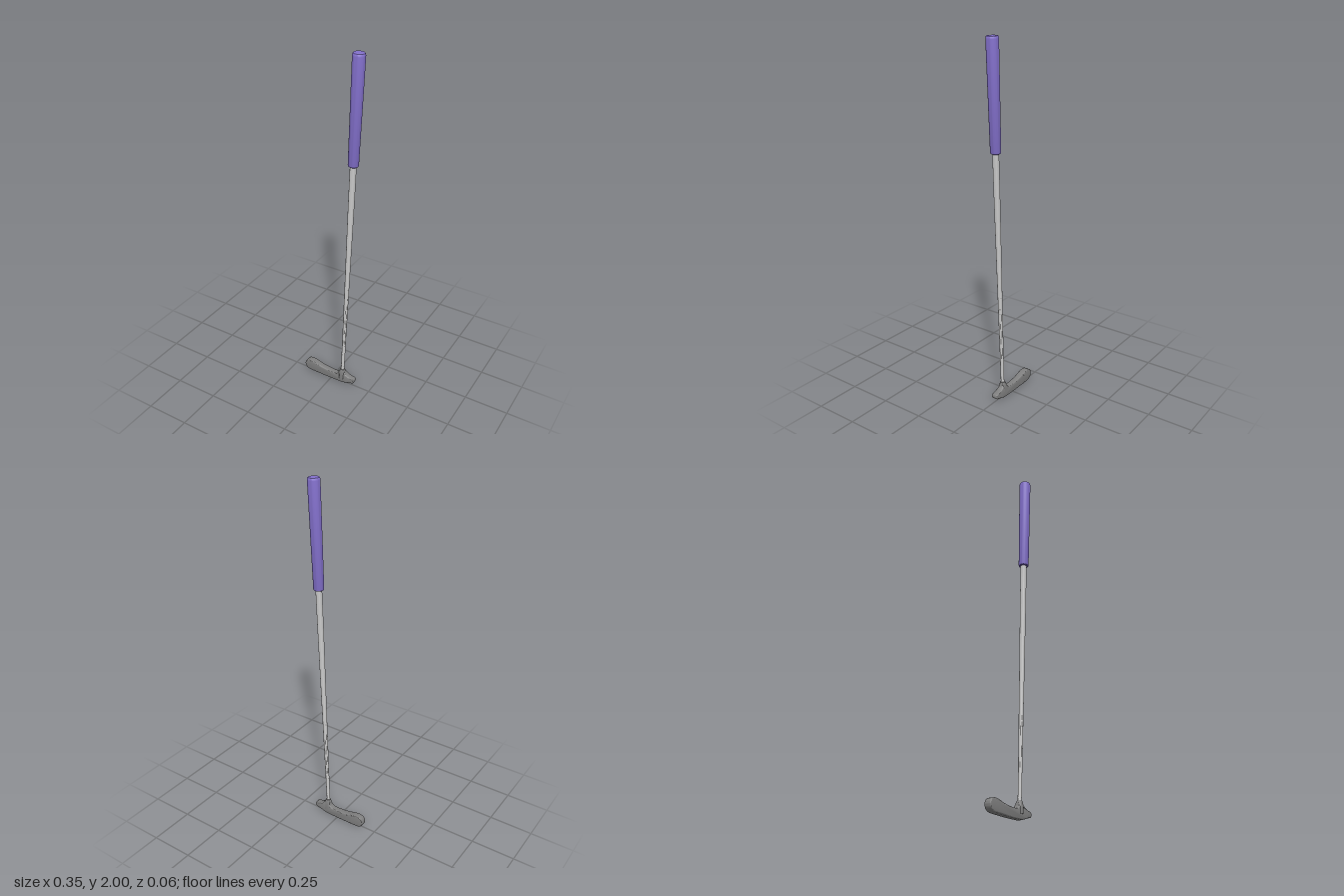
import * as THREE from 'three';
import { toCreasedNormals } from 'three/addons/utils/BufferGeometryUtils.js';

const SEGMENTS = 32;

export function createModel() {
  const model = new THREE.Group();
  model.name = 'putter';

  const steel = new THREE.MeshStandardMaterial({ color: 0xcccccc });
  const darkSteel = new THREE.MeshStandardMaterial({ color: 0x808080 });
  const purple = new THREE.MeshStandardMaterial({ color: 0x8370cc });

  // Turned parts share one axis that leans towards +x
  const axis = new THREE.Group();
  axis.name = 'leaningAxis';
  axis.position.x = 0.07;
  axis.rotation.z = -0.0375;
  model.add(axis);

  function turned(name, profile, material) {
    const points = profile.map(([r, y]) => new THREE.Vector2(r, y));
    const geometry = toCreasedNormals(new THREE.LatheGeometry(points, SEGMENTS), 0.6);
    const mesh = new THREE.Mesh(geometry, material);
    mesh.name = name;
    axis.add(mesh);
    return mesh;
  }

  // Tapered shaft
  turned('shaft', [[0, 0.05], [0.0095, 0.05], [0.011, 0.35], [0.0165, 1.2], [0.017, 1.44], [0, 1.44]], steel);

  // Grip with rounded ends, thicker at the top
  turned('grip', [
    [0, 1.422], [0.022, 1.422], [0.026, 1.425], [0.028, 1.432],
    [0.0325, 1.985], [0.0315, 1.993], [0.028, 1.998], [0, 1.999],
  ], purple);

  // Collar that joins the shaft to the head
  const hosel = turned('hosel', [
    [0, 0.03], [0.021, 0.03], [0.021, 0.055], [0.0195, 0.072],
    [0.0165, 0.086], [0.013, 0.095], [0.0095, 0.097], [0, 0.097],
  ], darkSteel);
  hosel.position.z = -0.001;

  // Blade outline: tall rounded toe at -x, dipped top line, small heel at +x
  const blade = new THREE.Shape();
  blade.moveTo(-0.14, 0.004);
  blade.quadraticCurveTo(-0.04, -0.002, 0.08, 0.002);
  blade.quadraticCurveTo(0.11, 0.012, 0.145, 0.022);
  blade.bezierCurveTo(0.158, 0.025, 0.158, 0.049, 0.143, 0.051);
  blade.quadraticCurveTo(0.125, 0.053, 0.108, 0.06);
  blade.quadraticCurveTo(0.094, 0.066, 0.09, 0.082);
  blade.lineTo(0.056, 0.082);
  blade.quadraticCurveTo(0.052, 0.052, 0.03, 0.05);
  blade.quadraticCurveTo(-0.04, 0.05, -0.10, 0.067);
  blade.bezierCurveTo(-0.13, 0.074, -0.152, 0.076, -0.167, 0.064);
  blade.bezierCurveTo(-0.184, 0.05, -0.184, 0.008, -0.14, 0.004);

  const bevel = 0.005;
  const bladeGeometry = new THREE.ExtrudeGeometry(blade, {
    depth: 0.029,
    bevelThickness: bevel,
    bevelSize: bevel,
    bevelOffset: -bevel,
    bevelSegments: 3,
    curveSegments: 12,
  });
  bladeGeometry.translate(0, 0, -0.017);

  // Thin the blade slightly behind the toe, and pinch it around the hosel top
  const p = bladeGeometry.attributes.position;
  for (let i = 0; i < p.count; i++) {
    const slim = 1 - 0.1 * THREE.MathUtils.smoothstep(p.getX(i), -0.12, -0.06);
    const pinch = 1 - 0.45 * THREE.MathUtils.smoothstep(p.getY(i), 0.06, 0.085)
      * THREE.MathUtils.smoothstep(p.getX(i), 0, 0.05);
    p.setZ(i, (p.getZ(i) + 0.0025) * slim * pinch - 0.0025);
  }
  const head = new THREE.Mesh(toCreasedNormals(bladeGeometry, 0.6), darkSteel);
  head.name = 'head';
  model.add(head);

  return model;
}
